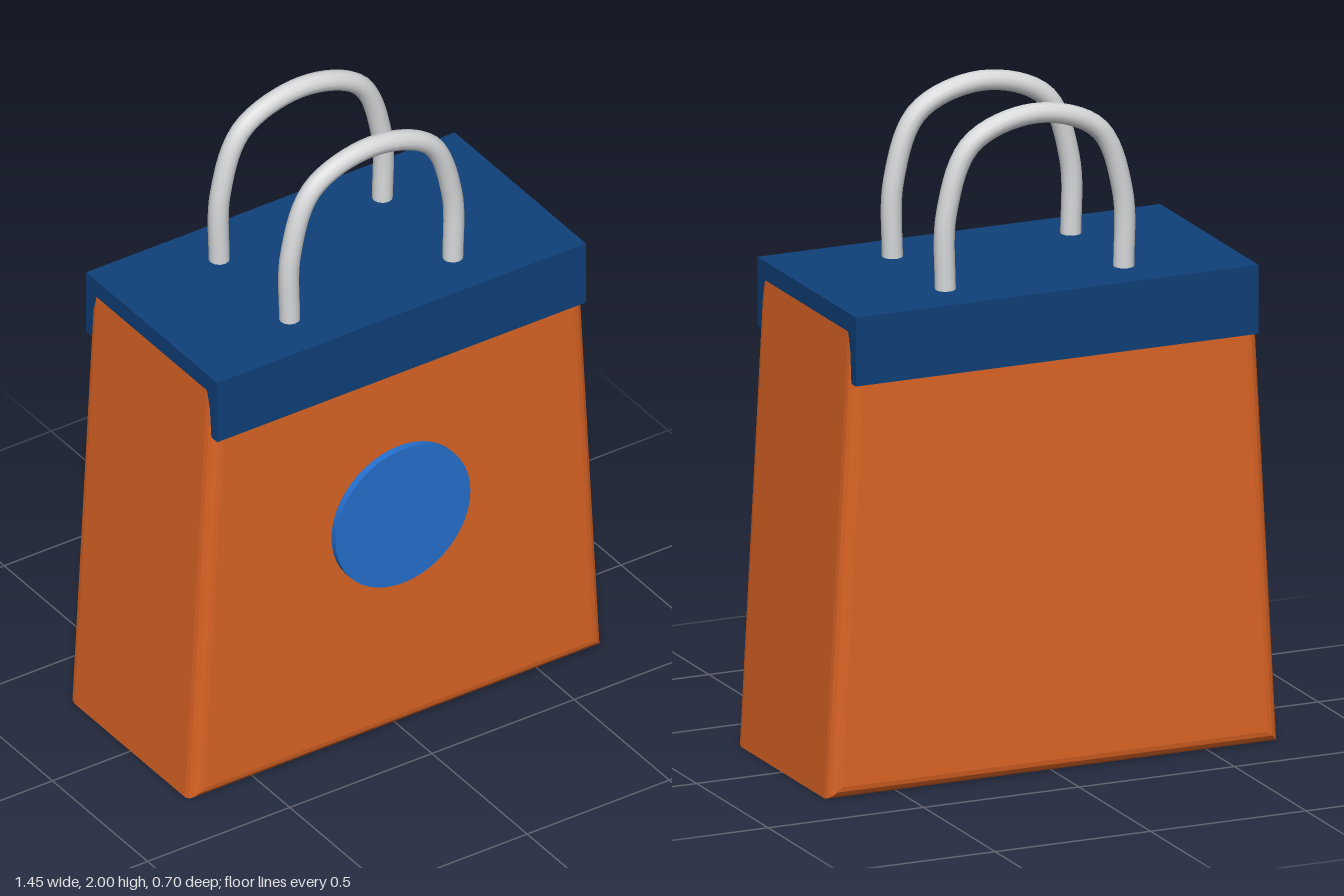
import * as THREE from 'three';

export function createModel() {
  const group = new THREE.Group();
  const material = (name, color) => {
    const m = new THREE.MeshStandardMaterial({ color });
    m.name = name;
    return m;
  };
  const orange = material('orange', 0xdc6424);
  const navy = material('navy', 0x0f4079);
  const blue = material('blue', 0x2670cf);
  const grey = material('lightGrey', 0xd6d8da);
  const midZ = -0.004; // bag centre, offset by the badge on the front

  const add = (name, geometry, mat, x, y, z) => {
    const mesh = new THREE.Mesh(geometry, mat);
    mesh.name = name;
    mesh.position.set(x, y, z);
    group.add(mesh);
    return mesh;
  };

  // Tapered body with rounded front and back edges
  const outline = new THREE.Shape([
    new THREE.Vector2(-0.725, 0),
    new THREE.Vector2(0.725, 0),
    new THREE.Vector2(0.646, 1.45),
    new THREE.Vector2(-0.646, 1.45),
  ]);
  const bevel = 0.04;
  const body = new THREE.ExtrudeGeometry(outline, {
    depth: 0.58,
    bevelEnabled: true,
    bevelThickness: bevel,
    bevelSize: bevel,
    bevelOffset: -bevel,
    bevelSegments: 4,
  });
  add('body', body, orange, 0, 0, midZ - 0.29);

  // Folded band across the top
  add('topBand', new THREE.BoxGeometry(1.296, 0.21, 0.688), navy, 0, 1.365, midZ);

  // Round badge on the front
  const badge = new THREE.CylinderGeometry(0.237, 0.237, 0.04, 48).rotateX(Math.PI / 2);
  add('badge', badge, blue, 0, 0.755, 0.328);

  // Two arched handles
  const arch = [
    [-0.287, 1.45], [-0.283, 1.7], [-0.205, 1.9], [0, 1.97],
    [0.205, 1.9], [0.283, 1.7], [0.287, 1.45],
  ].map(([x, y]) => new THREE.Vector3(x, y, 0));
  const handle = new THREE.TubeGeometry(new THREE.CatmullRomCurve3(arch), 48, 0.031, 12);
  add('frontHandle', handle, grey, 0, 0, midZ + 0.185);
  add('backHandle', handle, grey, 0, 0, midZ - 0.185);

  return group;
}
